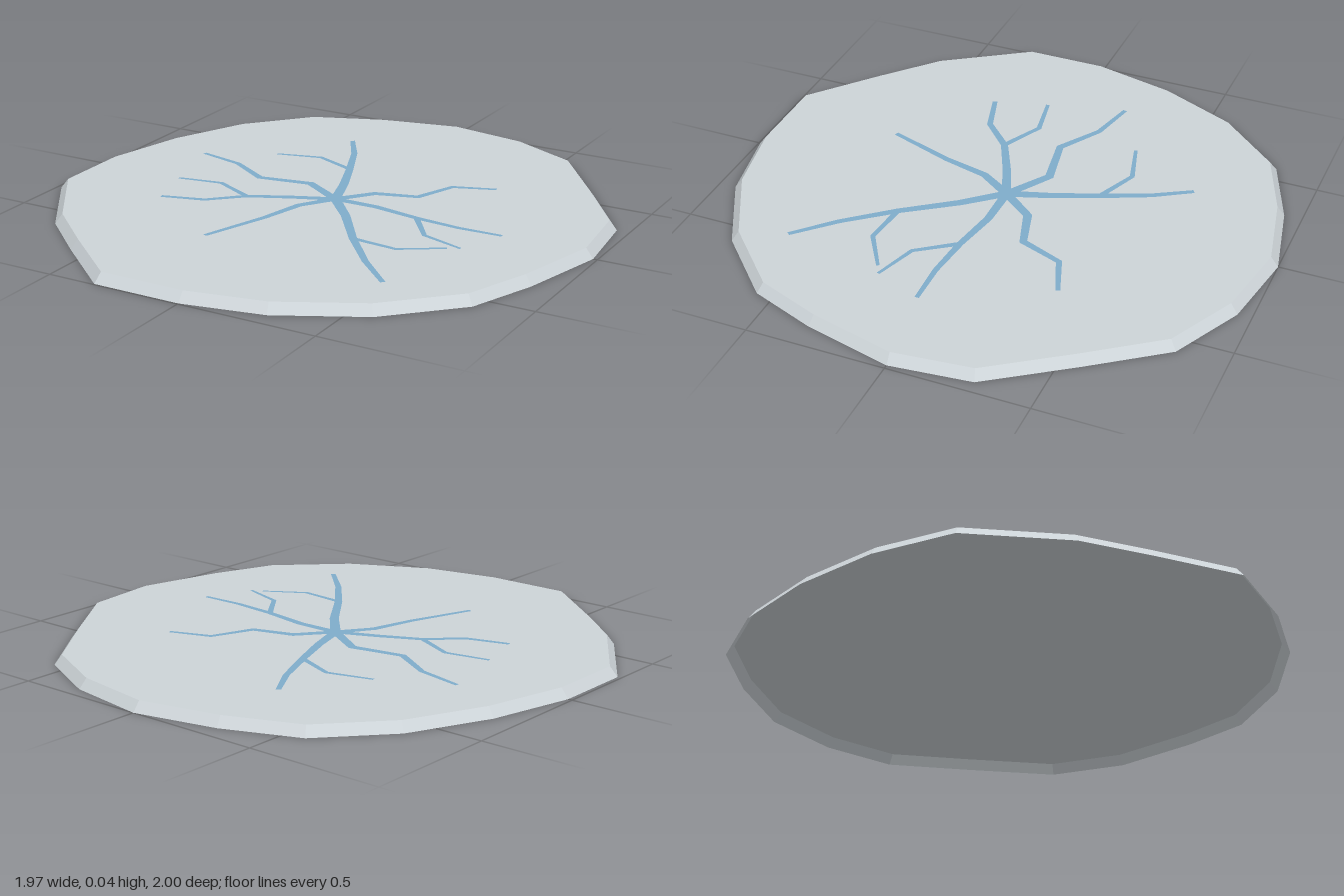
import * as THREE from 'three';

const SLAB_HEIGHT = 0.035;
const TOP_SCALE = 0.973;

// Irregular slab outline [x, z], starting at the front and turning towards +x
const outline = [
  [0, 0.995], [0.29, 0.937], [0.583, 0.787], [0.813, 0.562], [0.905, 0.32],
  [0.985, 0], [0.953, -0.29], [0.755, -0.57], [0.565, -0.825], [0.305, -0.95],
  [0, -1], [-0.303, -0.935], [-0.573, -0.828], [-0.778, -0.6], [-0.91, -0.31],
  [-0.985, 0], [-0.985, 0.3], [-0.773, 0.615], [-0.573, 0.79], [-0.325, 0.995],
];

// Crack centre lines [x, z] with the width at the root and at the tip
const cracks = [
  { from: 0.038, to: 0.018, path: [[0, 0], [-0.05, -0.15], [-0.115, -0.31], [-0.19, -0.48], [-0.27, -0.61]] },
  { from: 0.036, to: 0.016, path: [[0, 0], [0.095, -0.12], [0.245, -0.165], [0.305, -0.32], [0.455, -0.375]] },
  { from: 0.034, to: 0.016, path: [[0, 0], [0.165, 0], [0.34, 0.03], [0.51, 0.045], [0.67, 0.04]] },
  { from: 0.038, to: 0.018, path: [[0, 0], [0.115, 0.13], [0.245, 0.31], [0.38, 0.47], [0.515, 0.6]] },
  { from: 0.036, to: 0.018, path: [[0, 0], [-0.08, 0.12], [-0.12, 0.285], [-0.205, 0.53]] },
  { from: 0.034, to: 0.018, path: [[0, 0], [-0.145, 0.06], [-0.29, 0.13], [-0.4, 0.235], [-0.555, 0.28]] },
  { from: 0.036, to: 0.016, path: [[0, 0], [-0.16, -0.1], [-0.355, -0.065], [-0.51, -0.16], [-0.685, -0.2]] },
  // side branches
  { from: 0.022, to: 0.013, path: [[-0.115, -0.31], [-0.275, -0.375], [-0.44, -0.33]] },
  { from: 0.022, to: 0.012, path: [[0.34, 0.03], [0.44, 0.165], [0.6, 0.215]] },
  { from: 0.022, to: 0.012, path: [[0.245, 0.31], [0.415, 0.325], [0.56, 0.235]] },
  { from: 0.022, to: 0.014, path: [[-0.29, 0.13], [-0.445, 0.055], [-0.61, 0.085]] },
];

// Move the corners of a round geometry onto the outline, with flat faces
function fitToOutline(geo) {
  const n = outline.length;
  const pos = geo.attributes.position;
  for (let i = 0; i < pos.count; i++) {
    const x = pos.getX(i), z = pos.getZ(i);
    const r = Math.hypot(x, z);
    if (r < 0.01) continue;
    const k = (Math.round(Math.atan2(x, z) / (2 * Math.PI) * n) + n) % n;
    pos.setXYZ(i, outline[k][0] * r, pos.getY(i), outline[k][1] * r);
  }
  const flat = geo.toNonIndexed();
  flat.computeVertexNormals();
  return flat;
}

// Flat tapering ribbon with mitred corners along a path
function crackGeometry({ path, from, to }) {
  const pts = path.map(([x, z]) => new THREE.Vector2(x, -z));
  const left = [], right = [];
  pts.forEach((p, i) => {
    const a = p.clone().sub(pts[Math.max(i - 1, 0)]).normalize();
    const b = pts[Math.min(i + 1, pts.length - 1)].clone().sub(p).normalize();
    const dir = a.clone().add(b).normalize();
    const cosHalf = i === 0 || i === pts.length - 1 ? 1 : dir.dot(a);
    const half = THREE.MathUtils.lerp(from, to, i / (pts.length - 1)) / 2 / cosHalf;
    const side = new THREE.Vector2(-dir.y, dir.x).multiplyScalar(half);
    left.push(p.clone().add(side));
    right.unshift(p.clone().sub(side));
  });
  return new THREE.ShapeGeometry(new THREE.Shape([...left, ...right])).rotateX(-Math.PI / 2);
}

export function createModel() {
  const ice = new THREE.MeshStandardMaterial({ color: 0xcdd4d8, side: THREE.DoubleSide });
  ice.name = 'pale grey ice';
  const blue = new THREE.MeshStandardMaterial({ color: 0x7fadcb });
  blue.name = 'crack blue';

  const model = new THREE.Group();
  model.name = 'crackedIceSlab';

  // Sheet and sloping rim, open underneath
  const n = outline.length;
  const sheet = new THREE.Mesh(
    fitToOutline(new THREE.CircleGeometry(TOP_SCALE, n).rotateX(-Math.PI / 2)), ice);
  sheet.name = 'topSheet';
  sheet.position.y = SLAB_HEIGHT;
  const rim = new THREE.Mesh(
    fitToOutline(new THREE.CylinderGeometry(TOP_SCALE, 1, SLAB_HEIGHT, n, 1, true)), ice);
  rim.name = 'rim';
  rim.position.y = SLAB_HEIGHT / 2;
  model.add(sheet, rim);

  // Painted cracks just above the sheet
  const crackGroup = new THREE.Group();
  crackGroup.name = 'cracks';
  crackGroup.position.y = SLAB_HEIGHT + 0.001;
  cracks.forEach((c, i) => {
    const mesh = new THREE.Mesh(crackGeometry(c), blue);
    mesh.name = `crack${i + 1}`;
    crackGroup.add(mesh);
  });
  model.add(crackGroup);

  return model;
}
